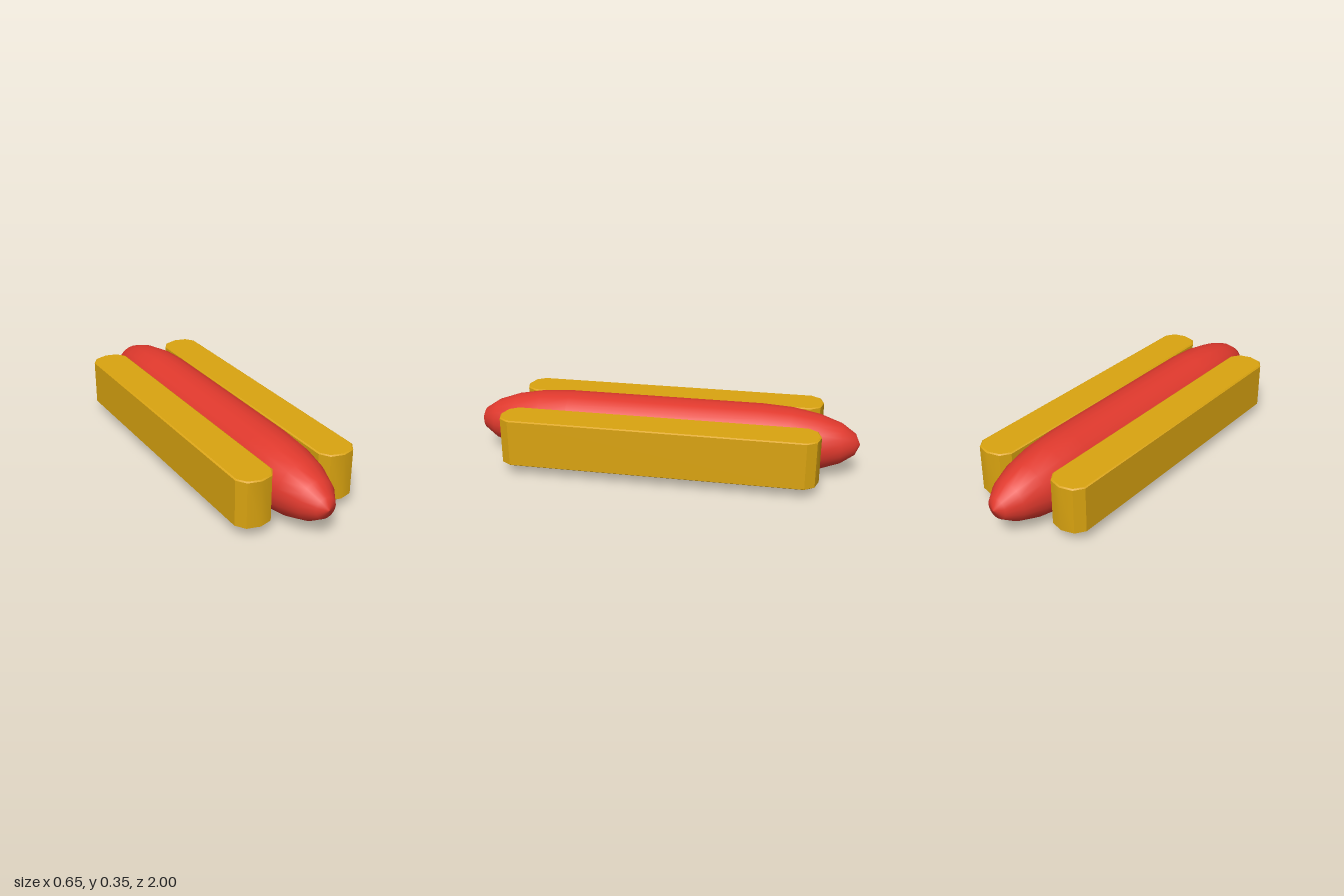
import * as THREE from 'three';
import { toCreasedNormals } from 'three/addons/utils/BufferGeometryUtils.js';

// Sausage: straight middle with elliptical ends, lathed along z
function createSausage() {
  const radius = 0.175, straight = 0.5, tip = 0.5, steps = 5;
  const profile = [];
  for (const end of [-1, 1]) {
    for (let i = 0; i <= steps; i++) {
      const a = (end < 0 ? steps - i : i) / steps * Math.PI / 2;
      const r = i === (end < 0 ? 0 : steps) ? 0 : radius * Math.cos(a);
      profile.push(new THREE.Vector2(r, end * (straight + tip * Math.sin(a))));
    }
  }
  const mesh = new THREE.Mesh(
    new THREE.LatheGeometry(profile, 20).rotateX(Math.PI / 2),
    new THREE.MeshStandardMaterial({ color: 0xe0392d })
  );
  mesh.name = 'sausage';
  mesh.position.y = radius;
  return mesh;
}

// Bun half: long slab with faceted ends and a fine bevel on top and bottom
function createBunGeometry() {
  const end = [[0.0975, 0.742], [0.065, 0.79], [0, 0.808], [-0.065, 0.79], [-0.0975, 0.742]];
  const outline = [...end, ...end.map(([x, z]) => [-x, -z])];
  const shape = new THREE.Shape(outline.map(([x, z]) => new THREE.Vector2(x, z)));
  const bevel = 0.007, edge = 0.005;
  const geometry = new THREE.ExtrudeGeometry(shape, {
    depth: 0.245 - 2 * edge,
    bevelThickness: edge,
    bevelSize: bevel,
    bevelOffset: -bevel,
    bevelSegments: 1
  });
  geometry.rotateX(-Math.PI / 2);
  return toCreasedNormals(geometry, 0.58);
}

export function createModel() {
  const group = new THREE.Group();
  group.name = 'hotDog';
  group.add(createSausage());

  const bunGeometry = createBunGeometry();
  const bunMaterial = new THREE.MeshStandardMaterial({ color: 0xd9a310 });
  for (const side of [1, -1]) {
    const bun = new THREE.Mesh(bunGeometry, bunMaterial);
    bun.name = side > 0 ? 'leftBun' : 'rightBun';
    bun.position.set(side * 0.2265, 0.06, 0);
    group.add(bun);
  }
  return group;
}
